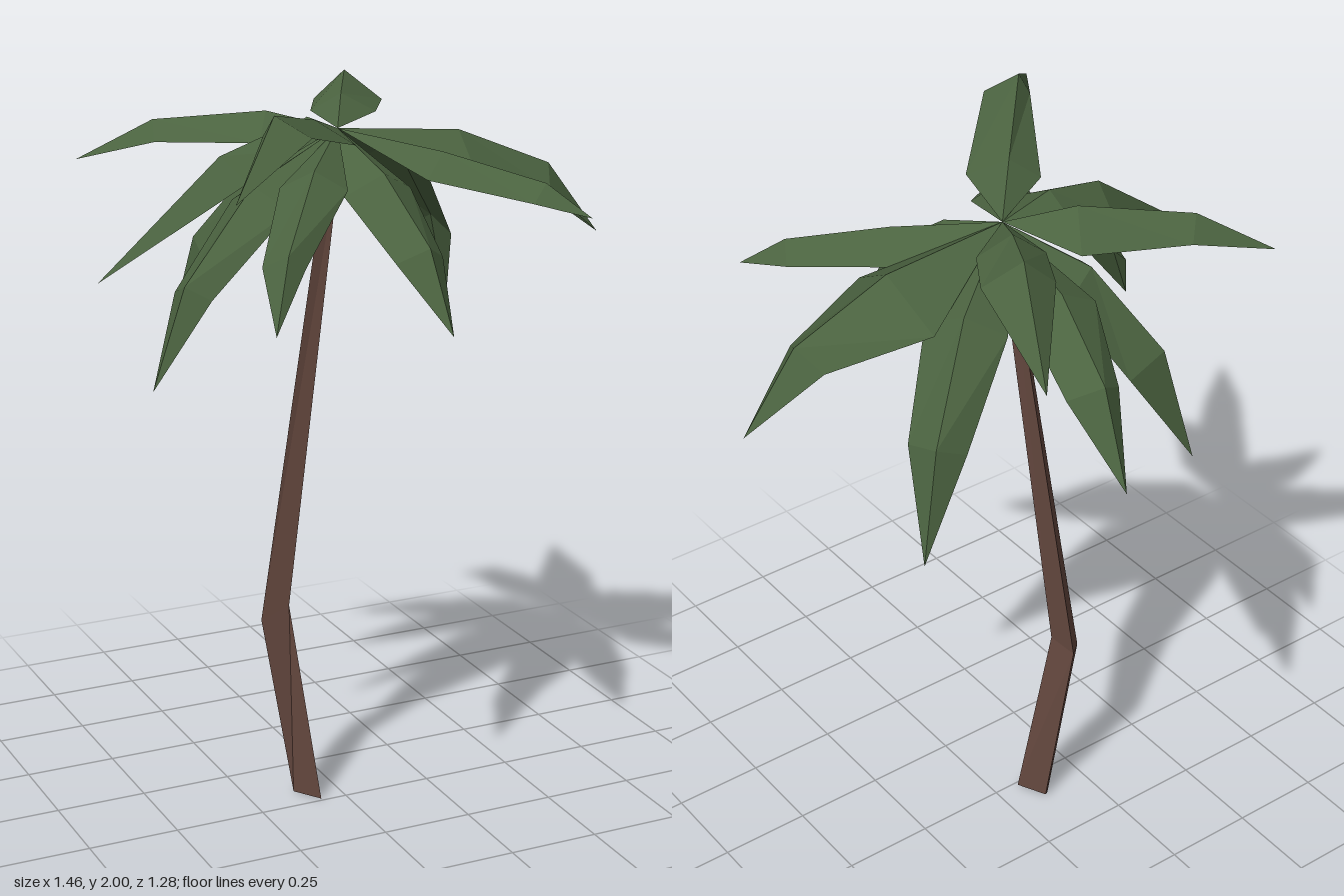
import * as THREE from 'three';

const leafGreen = new THREE.MeshStandardMaterial({ color: 0x4b6340 });
leafGreen.name = 'leaf green';
leafGreen.flatShading = true;
leafGreen.side = THREE.DoubleSide;

const barkBrown = new THREE.MeshStandardMaterial({ color: 0x65483f });
barkBrown.name = 'bark brown';
barkBrown.flatShading = true;

const V = (p) => new THREE.Vector3(...p);
const UP = new THREE.Vector3(0, 1, 0);
const CROWN = V([-0.03, 1.87, 0.015]);

// Mesh from a list of triangles, each three Vector3 corners
function facetMesh(name, triangles, material) {
  const geometry = new THREE.BufferGeometry().setFromPoints(triangles.flat());
  geometry.computeVertexNormals();
  const mesh = new THREE.Mesh(geometry, material);
  mesh.name = name;
  return mesh;
}

// Three-sided trunk, bent at the knee
function makeTrunk() {
  const rings = [
    [[-0.12, 0, -0.085], [-0.07, 0, -0.01], [-0.11, 0, -0.09]],
    [[-0.205, 0.52, -0.1], [-0.135, 0.56, -0.073], [-0.155, 0.54, -0.147]],
    [[-0.05, 1.84, 0.01], [-0.016, 1.84, 0.014], [-0.03, 1.84, -0.014]],
  ].map((ring) => ring.map(V));
  const tris = [];
  for (let r = 0; r < 2; r++) {
    for (let i = 0; i < 3; i++) {
      const j = (i + 1) % 3;
      const [a, b] = [rings[r], rings[r + 1]];
      tris.push([a[i], a[j], b[j]], [a[i], b[j], b[i]]);
    }
  }
  tris.push([rings[0][2], rings[0][1], rings[0][0]], rings[2]);
  return facetMesh('trunk', tris, barkBrown);
}

// Folded frond: a ridge from the crown to the tip, bent in height at two
// stations, with edges hanging on both sides of each station.
// A station is [fraction of the way out, height, left width, right width].
function makeFrond(tip, mid, outer) {
  const end = V(tip);
  const onRidge = ([t, y]) => CROWN.clone().lerp(end, t).setY(y);
  const ridge = [CROWN, onRidge(mid), onRidge(outer), end];
  const section = (i, [, , left, right], fold) => {
    const forward = ridge[i + 1].clone().sub(ridge[i - 1]).normalize();
    const side = forward.clone().cross(UP).normalize();
    const normal = side.clone().cross(forward);
    const drop = fold * (left + right) / 2;
    const edge = (offset) => ridge[i].clone().addScaledVector(side, offset).addScaledVector(normal, -drop);
    return [edge(-left), ridge[i], edge(right)];
  };
  const a = section(1, mid, 0.6);
  const b = section(2, outer, 0.85);
  const tris = [];
  for (let k = 0; k < 2; k++) {
    tris.push(
      [CROWN, a[k + 1], a[k]],
      [a[k], a[k + 1], b[k + 1]],
      [a[k], b[k + 1], b[k]],
      [b[k], b[k + 1], end],
    );
  }
  return facetMesh('frond', tris, leafGreen);
}

export function createModel() {
  const model = new THREE.Group();
  model.name = 'palmTree';
  model.add(makeTrunk());

  // Each frond: tip, middle station, outer station
  const fronds = [
    [[0.73, 1.53, 0.03], [0.45, 1.84, 0.17, 0.16], [0.8, 1.73, 0.07, 0.085]],
    [[0.44, 1.69, 0.495], [0.42, 1.83, 0.1, 0.09], [0.82, 1.77, 0.06, 0.05]],
    [[0.045, 1.44, 0.52], [0.41, 1.79, 0.1, 0.1], [0.8, 1.64, 0.07, 0.07]],
    [[-0.46, 1.52, 0.6], [0.4, 1.82, 0.08, 0.09], [0.81, 1.68, 0.035, 0.07]],
    [[-0.575, 1.85, 0.64], [0.25, 1.93, 0.11, 0.08], [0.645, 2.0, 0.09, 0.03]],
    [[-0.64, 1.32, 0.265], [0.47, 1.77, 0.1, 0.1], [0.83, 1.56, 0.05, 0.08]],
    [[-0.73, 1.57, 0.14], [0.24, 1.89, 0.08, 0.06], [0.5, 1.84, 0.075, 0.085]],
    [[-0.6, 1.77, -0.36], [0.27, 1.91, 0.09, 0.13], [0.7, 1.88, 0.05, 0.07]],
    [[-0.36, 1.24, -0.36], [0.45, 1.77, 0.1, 0.11], [0.83, 1.55, 0.08, 0.1]],
    [[0.09, 1.48, -0.64], [0.48, 1.84, 0.1, 0.09], [0.82, 1.71, 0.06, 0.08]],
    [[0.29, 1.81, -0.585], [0.24, 1.93, 0.08, 0.09], [0.5, 1.96, 0.08, 0.1]],
    [[0.48, 1.27, -0.36], [0.49, 1.78, 0.1, 0.11], [0.84, 1.54, 0.06, 0.09]],
  ];
  const crown = new THREE.Group();
  crown.name = 'crown';
  fronds.forEach((f) => crown.add(makeFrond(...f)));
  model.add(crown);
  return model;
}
